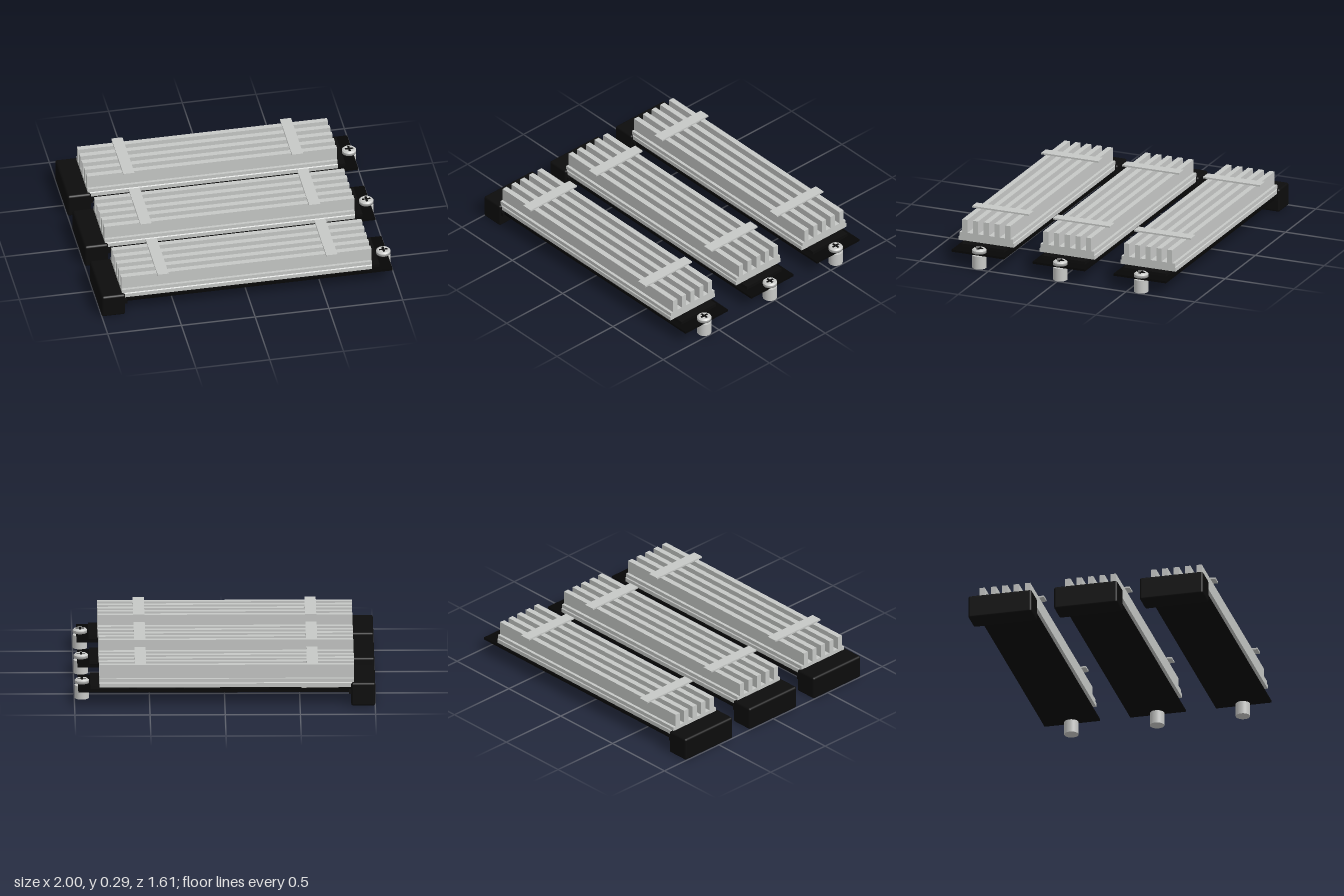
import * as THREE from 'three';
import { RoundedBoxGeometry } from 'three/addons/geometries/RoundedBoxGeometry.js';

const mat = (name, color) => Object.assign(new THREE.MeshStandardMaterial({ color }), { name });

export function createModel() {
  const aluminium = mat('aluminium', 0xc6c8c6);
  const steel = mat('steel', 0xc9cac8);
  const boardBlack = mat('board black', 0x060606);
  const plasticBlack = mat('plastic black', 0x0c0c0c);
  const contactMetal = mat('contact metal', 0xb8b8b4);

  // One drive: circuit board in a socket, with finned heat sink and fixing screw
  function createDrive() {
    const drive = new THREE.Group();
    const add = (name, geometry, material, x = 0, y = 0, z = 0) => {
      const mesh = new THREE.Mesh(geometry, material);
      mesh.name = name;
      mesh.position.set(x, y, z);
      drive.add(mesh);
      return mesh;
    };
    // Box given by its x and y limits, depth and middle z
    const box = (name, material, x0, x1, y0, y1, depth, z = 0) =>
      add(name, new THREE.BoxGeometry(x1 - x0, y1 - y0, depth), material,
        (x0 + x1) / 2, (y0 + y1) / 2, z);

    // Socket with guide tabs
    add('socket', new RoundedBoxGeometry(0.16, 0.16, 0.435, 2, 0.014), plasticBlack, -0.92, 0.08, 0);
    for (const s of [-1, 1]) box('socketTab', plasticBlack, -0.85, -0.825, 0.08, 0.11, 0.02, s * 0.195);

    // Circuit board with a row of edge contacts on the underside
    box('circuitBoard', boardBlack, -0.87, 0.975, 0.09, 0.105, 0.38);
    for (let i = 0; i < 24; i++) {
      if (i > 4 && i < 8) continue; // key notch
      box('edgeContact', contactMetal, -0.86, -0.82, 0.088, 0.092, 0.009, -0.16 + i * 0.014);
    }

    // Chips
    box('controllerChip', contactMetal, -0.755, -0.51, 0.105, 0.125, 0.28);
    box('smallChip', plasticBlack, -0.476, -0.337, 0.105, 0.12, 0.2);
    for (let i = 0; i < 4; i++) {
      const x = -0.295 + i * 0.311;
      box('memoryChip', plasticBlack, x, x + 0.257, 0.105, 0.127, 0.31);
    }

    // Heat sink: stepped base and five fins extruded as one profile
    const half = [[0.2, 0.128], [0.2, 0.155], [0.194, 0.16], [0.194, 0.185]];
    const profile = new THREE.Shape();
    profile.moveTo(-half[0][0], half[0][1]);
    half.forEach(([z, y]) => profile.lineTo(z, y));
    for (let i = 2; i >= -2; i--) {
      const c = i * 0.078, w = 0.0185;
      profile.lineTo(c + w, 0.185);
      profile.lineTo(c + w, 0.276);
      profile.lineTo(c - w, 0.276);
      profile.lineTo(c - w, 0.185);
    }
    half.slice(1).reverse().forEach(([z, y]) => profile.lineTo(-z, y));
    profile.closePath();
    const sink = new THREE.ExtrudeGeometry(profile, { depth: 1.695, bevelEnabled: false });
    sink.rotateY(Math.PI / 2);
    add('heatSink', sink, aluminium, -0.86);

    // Retaining straps across the fins
    for (const x of [-0.62, 0.523]) box('strap', aluminium, x, x + 0.075, 0.276, 0.287, 0.415);

    // Standoff and screw with cross recess
    add('standoff', new THREE.CylinderGeometry(0.048, 0.048, 0.09, 32), steel, 0.95, 0.045);
    add('screwShank', new THREE.CylinderGeometry(0.025, 0.025, 0.03, 24), steel, 0.95, 0.098);
    const head = [[0, 0.105], [0.048, 0.105], [0.048, 0.124], [0.048, 0.124], [0.038, 0.133], [0.038, 0.133], [0, 0.133]];
    add('screwHead', new THREE.LatheGeometry(head.map(p => new THREE.Vector2(...p)), 32), steel, 0.95);
    box('crossRecess', plasticBlack, 0.922, 0.978, 0.131, 0.1345, 0.014);
    box('crossRecess', plasticBlack, 0.943, 0.957, 0.131, 0.1348, 0.056);
    return drive;
  }

  // Three drives side by side
  const model = new THREE.Group();
  model.name = 'driveSet';
  for (const i of [-1, 0, 1]) {
    const drive = createDrive();
    drive.name = 'drive';
    drive.position.z = i * 0.588;
    model.add(drive);
  }
  return model;
}
